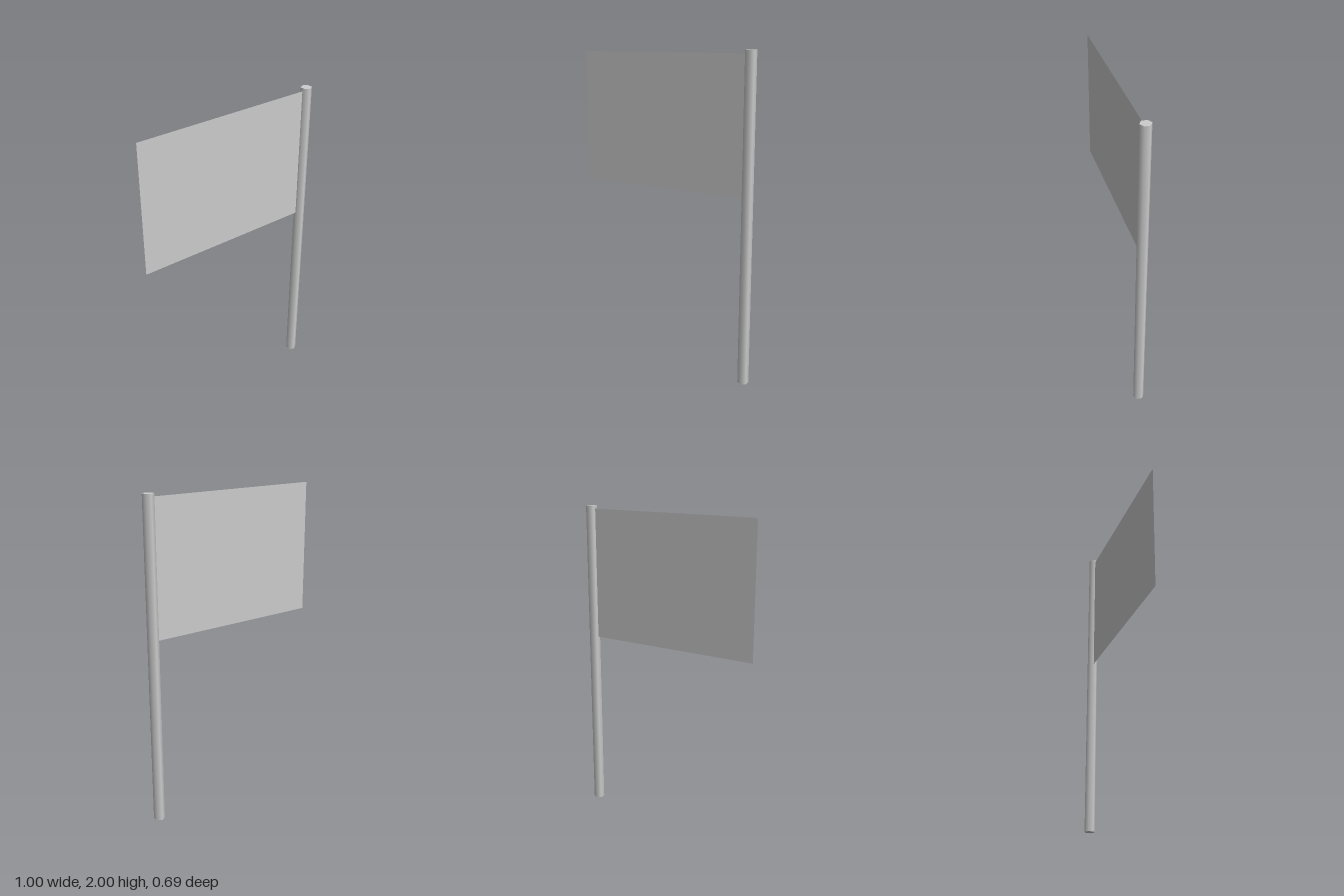
import * as THREE from 'three';

export function createModel() {
  const model = new THREE.Group();
  model.name = 'flag';

  // Hexagonal pole, slightly turned, standing in the back left corner
  const poleAt = new THREE.Vector3(0.466, 0, -0.315);
  const turn = THREE.MathUtils.degToRad(34);
  const pole = new THREE.Mesh(
    new THREE.CylinderGeometry(0.034, 0.034, 2, 6, 1, false, turn),
    new THREE.MeshStandardMaterial({ color: 0xcccccc })
  );
  pole.name = 'pole';
  pole.position.set(poleAt.x, 1, poleAt.z);
  model.add(pole);

  // Flat cloth running diagonally from the pole to its free edge
  const inner = new THREE.Vector3(0.445, 0, -0.3);
  const outer = new THREE.Vector3(-0.5, 0, 0.345);
  const bottom = 1.155, top = 1.98;
  const run = inner.clone().sub(outer);
  const cloth = new THREE.Mesh(
    new THREE.PlaneGeometry(run.length(), top - bottom),
    new THREE.MeshStandardMaterial({ color: 0xcccccc, side: THREE.DoubleSide })
  );
  cloth.name = 'cloth';
  cloth.position.copy(inner).add(outer).multiplyScalar(0.5);
  cloth.position.y = (top + bottom) / 2;
  cloth.rotation.y = Math.atan2(-run.z, run.x);
  model.add(cloth);

  return model;
}
